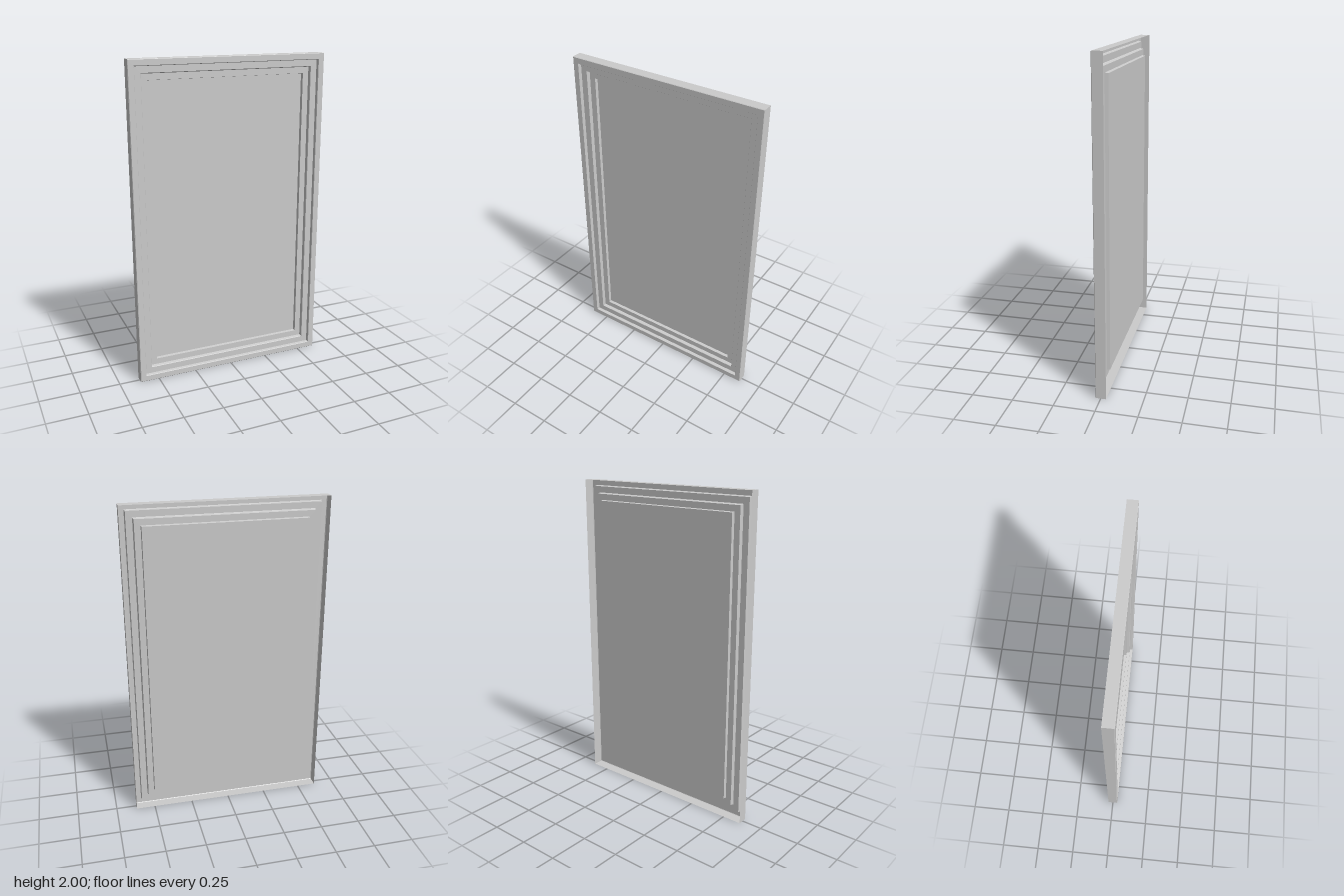
import * as THREE from 'three';

const W = 1.24, H = 2;

// Moulding cross-section from the open back edge to the recessed panel: [inset, z]
const sections = {
  outerWall: [[0, -0.032], [0, 0.029], [0.003, 0.032]],
  rim: [[0.003, 0.032], [0.036, 0.032], [0.038, 0.029]],
  outerStep: [[0.038, 0.029], [0.041, 0.012], [0.079, 0.012], [0.081, 0.009]],
  innerStep: [[0.081, 0.009], [0.085, -0.009], [0.122, -0.009]],
  panelLip: [[0.122, -0.009], [0.125, -0.028]],
};

// Mitred rectangular ring swept around the frame from one profile
function mouldingGeometry(profile) {
  const corner = ([inset, z], i) => {
    const sx = i === 1 || i === 2 ? 1 : -1;
    const sy = i >= 2 ? 1 : -1;
    return [sx * (W / 2 - inset), H / 2 + sy * (H / 2 - inset), z];
  };
  const pos = [];
  for (let k = 0; k < profile.length - 1; k++) {
    for (let i = 0; i < 4; i++) {
      const j = (i + 1) % 4;
      const a = corner(profile[k], i), b = corner(profile[k], j);
      const c = corner(profile[k + 1], j), d = corner(profile[k + 1], i);
      pos.push(...a, ...b, ...c, ...a, ...c, ...d);
    }
  }
  const geo = new THREE.BufferGeometry();
  geo.setAttribute('position', new THREE.Float32BufferAttribute(pos, 3));
  geo.computeVertexNormals();
  return geo;
}

export function createModel() {
  const group = new THREE.Group();
  group.name = 'pictureFrame';
  // Thin shell, open at the back
  const material = new THREE.MeshStandardMaterial({ color: 0xcccccc, side: THREE.DoubleSide });

  for (const [name, profile] of Object.entries(sections)) {
    const mesh = new THREE.Mesh(mouldingGeometry(profile), material);
    mesh.name = name;
    group.add(mesh);
  }

  // Recessed flat panel
  const [inset, z] = sections.panelLip[1];
  const panel = new THREE.Mesh(new THREE.PlaneGeometry(W - 2 * inset, H - 2 * inset), material);
  panel.name = 'panel';
  panel.position.set(0, H / 2, z);
  group.add(panel);

  return group;
}
